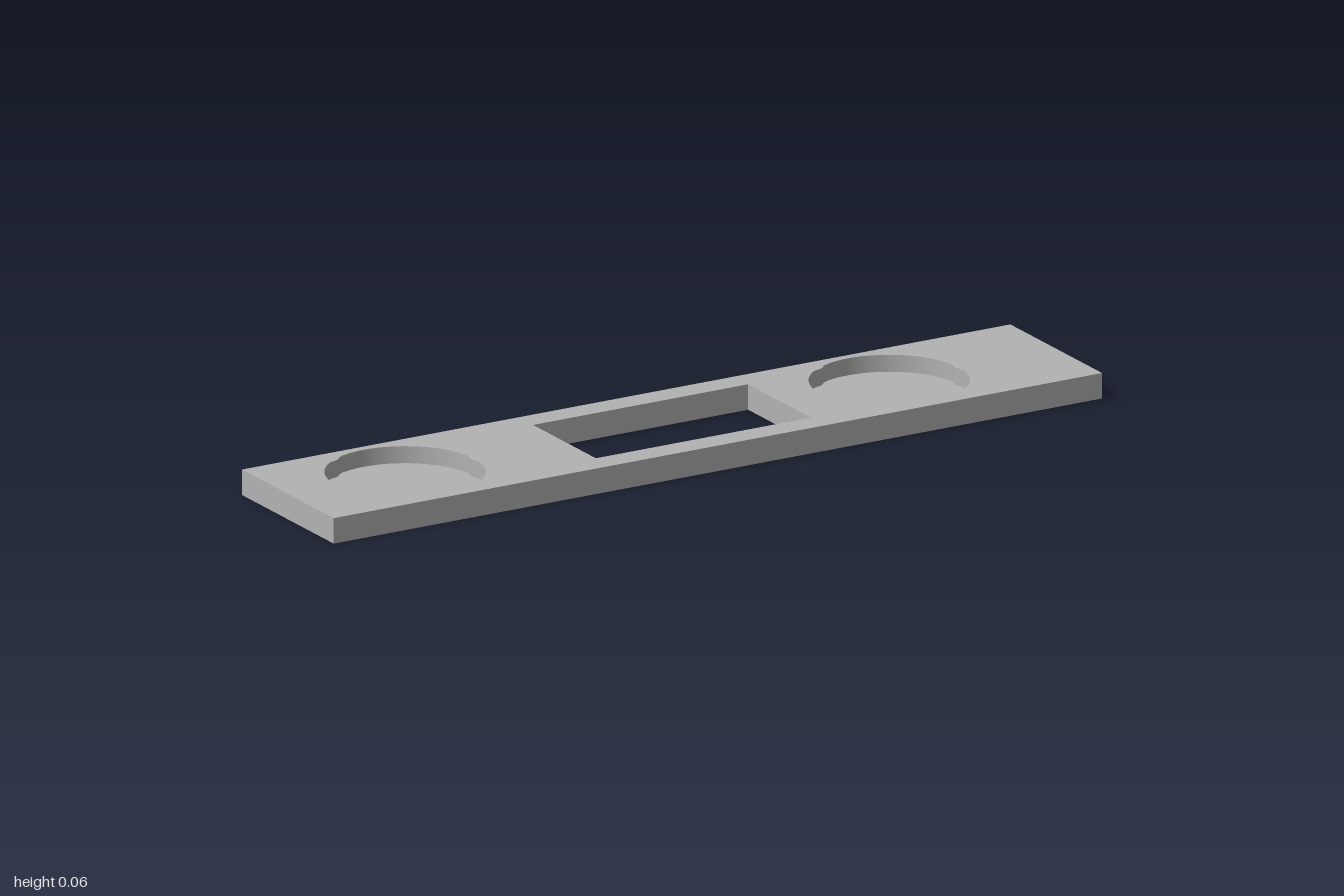
import * as THREE from 'three';
import { toCreasedNormals } from 'three/addons/utils/BufferGeometryUtils.js';

const HEIGHT = 0.06, FLOOR = 0.02;
const POCKET_RADIUS = 0.18, POCKETS = [-0.695, 0.565];

// Closed rectangle outline centred on the origin
function rectangle(Type, halfW, halfD) {
  return new Type().setFromPoints([
    new THREE.Vector2(-halfW, -halfD), new THREE.Vector2(halfW, -halfD),
    new THREE.Vector2(halfW, halfD), new THREE.Vector2(-halfW, halfD),
  ]);
}

// Round pocket outline with three small inward gripping ribs, 120 degrees apart
function pocketOutline(cx) {
  const points = [];
  const steps = 120, third = (Math.PI * 2) / 3;
  for (let i = 0; i < steps; i++) {
    const a = (i / steps) * Math.PI * 2;
    const offset = Math.abs(a - Math.round(a / third) * third);
    const r = POCKET_RADIUS - (offset < 0.12 ? 0.007 * Math.cos((offset / 0.12) * Math.PI / 2) : 0);
    points.push(new THREE.Vector2(cx + r * Math.cos(a), r * Math.sin(a)));
  }
  return new THREE.Path(points);
}

// Flat slab with the central window and any further holes
function slab(name, y, depth, holes, material) {
  const shape = rectangle(THREE.Shape, 1, 0.2);
  shape.holes.push(rectangle(THREE.Path, 0.28, 0.137), ...holes);
  const geometry = new THREE.ExtrudeGeometry(shape, { depth, bevelEnabled: false });
  geometry.rotateX(-Math.PI / 2);
  const mesh = new THREE.Mesh(toCreasedNormals(geometry, 0.4), material);
  mesh.name = name;
  mesh.position.y = y;
  return mesh;
}

export function createModel() {
  const group = new THREE.Group();
  group.name = 'pocketedPlate';
  const grey = new THREE.MeshStandardMaterial({ color: 0xb2b2b2 });
  grey.name = 'grey';

  // Base closes the pockets; the upper layer holds their walls
  group.add(slab('basePlate', 0, FLOOR, [], grey));
  group.add(slab('pocketLayer', FLOOR, HEIGHT - FLOOR, POCKETS.map(pocketOutline), grey));
  return group;
}
